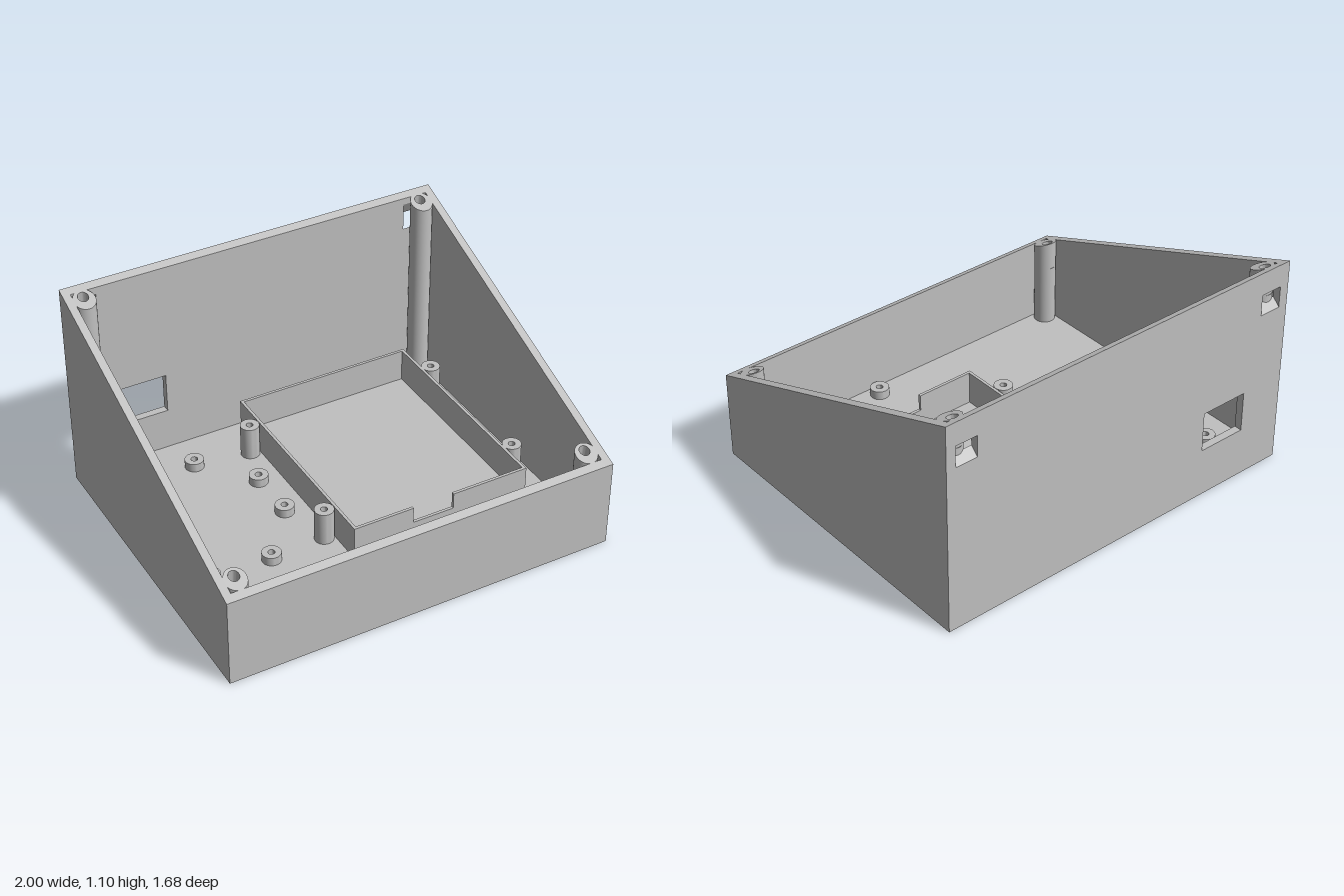
import * as THREE from 'three';
import { toCreasedNormals } from 'three/addons/utils/BufferGeometryUtils.js';

const W = 1, D = 0.84, WALL = 0.04, FLOOR = 0.04;
const FRONT_H = 0.46, BACK_H = 1.1;
const SLOPE = (BACK_H - FRONT_H) / (2 * D);
const lidY = (z) => BACK_H - SLOPE * (z + D);

const grey = new THREE.MeshStandardMaterial({ color: 0xc0c0c0 });
grey.name = 'grey plastic';

export function createModel() {
  const model = new THREE.Group();
  model.name = 'slopedEnclosure';

  const add = (name, geometry, x = 0, y = 0, z = 0) => {
    const mesh = new THREE.Mesh(geometry, grey);
    mesh.name = name;
    mesh.position.set(x, y, z);
    model.add(mesh);
    return mesh;
  };
  // box given by its limits
  const block = (name, x0, x1, y0, y1, z0, z1) =>
    add(name, new THREE.BoxGeometry(x1 - x0, y1 - y0, z1 - z0),
      (x0 + x1) / 2, (y0 + y1) / 2, (z0 + z1) / 2);
  // wall under the sloped rim, from z0 to z1, extruded along x
  const slopedWall = (name, x0, x1, z0, z1) => {
    const shape = new THREE.Shape([[z0, 0], [z0, lidY(z0)], [z1, lidY(z1)], [z1, 0]]
      .map(([z, y]) => new THREE.Vector2(-z, y)));
    const geo = new THREE.ExtrudeGeometry(shape, { depth: x1 - x0, bevelEnabled: false });
    add(name, geo.rotateY(Math.PI / 2), x0);
  };
  const rect = (x0, x1, y0, y1) => [[x0, y0], [x1, y0], [x1, y1], [x0, y1]]
    .map(([x, y]) => new THREE.Vector2(x, y));

  // shell
  block('floor', -W + WALL, W - WALL, 0, FLOOR, -D + WALL, D - WALL);
  slopedWall('rightWall', -W, -W + WALL, -D, D);
  slopedWall('leftWall', W - WALL, W, -D, D);
  slopedWall('frontWall', -W + WALL, W - WALL, D - WALL, D);

  // back wall with a port window and two slanted corner slots
  const back = new THREE.Shape(rect(-W + WALL, W - WALL, 0, BACK_H));
  back.holes.push(
    new THREE.Path(rect(-0.76, -0.505, 0.26, 0.47)),
    new THREE.Path(rect(-0.95, -0.835, 0.87, 0.98)),
    new THREE.Path(rect(0.835, 0.95, 0.87, 0.98)));
  const backGeo = new THREE.ExtrudeGeometry(back, { depth: WALL, bevelEnabled: false });
  const p = backGeo.attributes.position;
  for (let i = 0; i < p.count; i++) {
    if (p.getZ(i) < WALL / 2) continue;
    const y = p.getY(i);
    if (y > 1.05) p.setY(i, lidY(-D + WALL));
    else if (y > 0.95) p.setY(i, 1.05);
    else if (y > 0.8) p.setY(i, 0.91);
  }
  backGeo.computeVertexNormals();
  add('backWall', backGeo, 0, 0, -D);

  // round post with a blind screw hole
  const post = (r, hole, height, depth) => new THREE.LatheGeometry(
    [[r, 0], [r, height], [hole, height], [hole, height - depth], [0, height - depth]]
      .map(([x, y]) => new THREE.Vector2(x, y)), 32);

  // corner pillars, cut at the slope of the rim, holes square to the rim
  for (const x of [-0.91, 0.91]) {
    for (const z of [-0.755, 0.747]) {
      const height = lidY(z) - FLOOR, depth = 0.15;
      const geo = post(0.055, 0.026, height, depth);
      const v = geo.attributes.position;
      for (let i = 0; i < v.count; i++) {
        if (v.getY(i) < 0.01) continue;
        const inHole = Math.hypot(v.getX(i), v.getZ(i)) < 0.03;
        const deep = v.getY(i) < height - 0.01;
        if (inHole) v.setZ(i, v.getZ(i) - 0.015 - (deep ? depth * SLOPE * 0.3 : 0));
        v.setY(i, v.getY(i) - SLOPE * v.getZ(i));
      }
      add('cornerPillar', toCreasedNormals(geo, 0.6), x, FLOOR, z);
    }
  }

  // low and tall standoffs
  const low = toCreasedNormals(post(0.048, 0.017, 0.045, 0.04), 0.6);
  const tall = toCreasedNormals(post(0.048, 0.017, 0.175, 0.1), 0.6);
  const lowSpots = [[-0.786, -0.59], [-0.47, -0.59], [-0.786, 0.227], [-0.47, 0.227],
    [-0.25, -0.326], [-0.25, -0.056], [0.187, 0.735], [0.684, 0.735]];
  const tallSpots = [[-0.18, -0.55], [-0.18, 0.21], [0.866, -0.55], [0.866, 0.21]];
  for (const [x, z] of lowSpots) add('lowStandoff', low, x, FLOOR, z);
  for (const [x, z] of tallSpots) add('tallStandoff', tall, x, FLOOR, z);

  // battery tray with a notch in its front wall
  const T = 0.015, x0 = -0.13, x1 = 0.82, z0 = -0.75, z1 = 0.41, top = 0.215;
  block('trayRightWall', x0, x0 + T, FLOOR, top, z0, z1);
  block('trayLeftWall', x1 - T, x1, FLOOR, top, z0, z1);
  block('trayBackWall', x0 + T, x1 - T, FLOOR, top, z0, z0 + T);
  block('trayFrontWallRight', x0 + T, 0.19, FLOOR, top, z1 - T, z1);
  block('trayFrontWallNotch', 0.19, 0.41, FLOOR, 0.13, z1 - T, z1);
  block('trayFrontWallLeft', 0.41, x1 - T, FLOOR, top, z1 - T, z1);

  return model;
}
